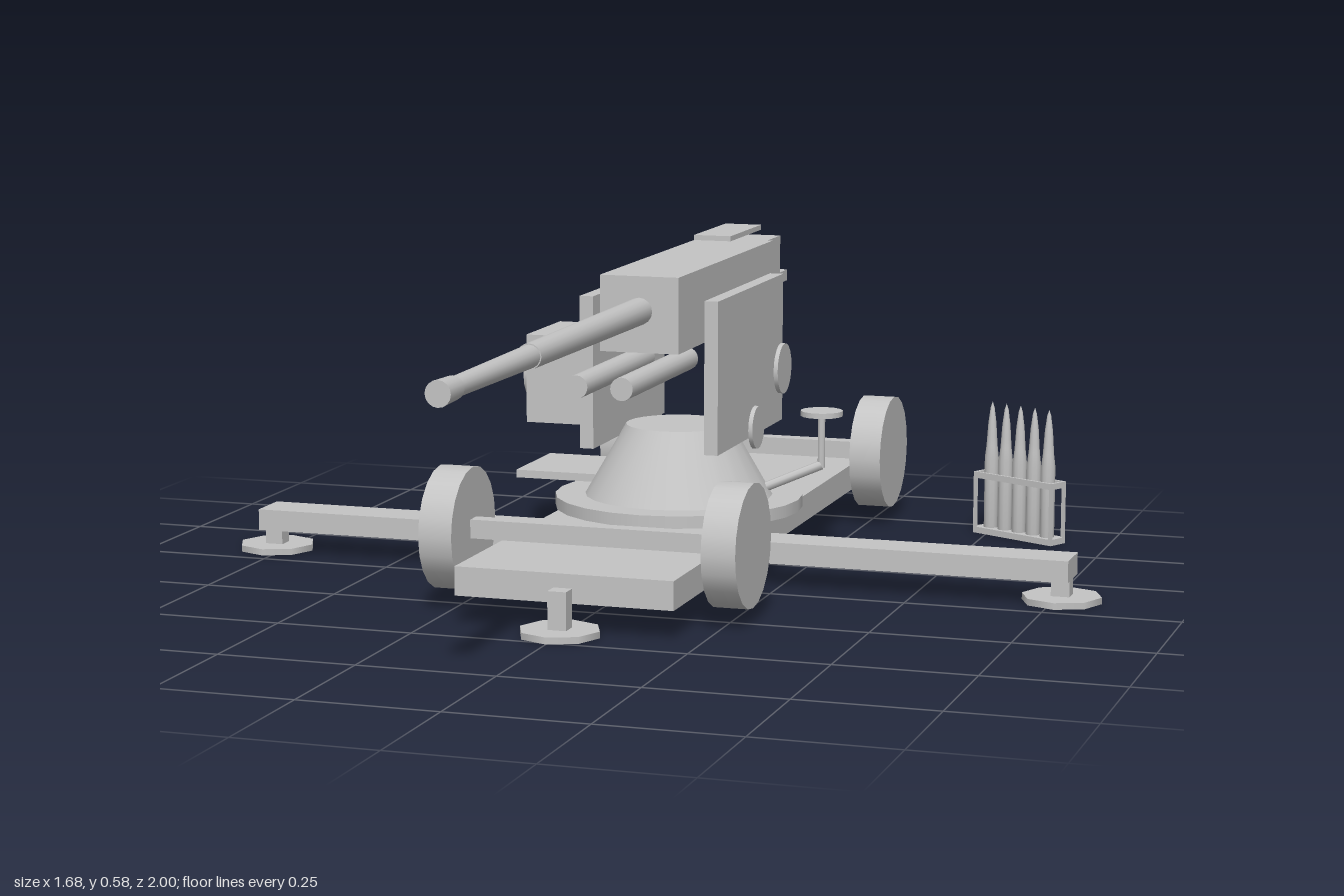
import * as THREE from 'three';

export function createModel() {
  const model = new THREE.Group();
  model.name = 'fieldGun';
  const grey = new THREE.MeshStandardMaterial({ color: 0xc4c4c4 });
  grey.name = 'plain grey';

  const add = (name, geometry, parent = model) => {
    const mesh = new THREE.Mesh(geometry, grey);
    mesh.name = name;
    parent.add(mesh);
    return mesh;
  };
  // Box given by its lower and upper limits on each axis
  const box = (name, [x0, x1], [y0, y1], [z0, z1], parent) => {
    const mesh = add(name, new THREE.BoxGeometry(x1 - x0, y1 - y0, z1 - z0), parent);
    mesh.position.set((x0 + x1) / 2, (y0 + y1) / 2, (z0 + z1) / 2);
    return mesh;
  };
  // Cylinder running between two points
  const rod = (name, a, b, r0, r1 = r0, sides = 16, parent = model) => {
    const from = new THREE.Vector3(...a), to = new THREE.Vector3(...b);
    const dir = to.clone().sub(from);
    const mesh = add(name, new THREE.CylinderGeometry(r1, r0, dir.length(), sides), parent);
    mesh.position.copy(from).add(to).multiplyScalar(0.5);
    mesh.quaternion.setFromUnitVectors(new THREE.Vector3(0, 1, 0), dir.normalize());
    return mesh;
  };
  // Octagonal pad with a square post
  const foot = (x, z, top) => {
    rod('footPad', [x, 0, z], [x, 0.012, z], 0.073, 0.073, 8);
    box('footPost', [x - 0.017, x + 0.017], [0.012, top], [z - 0.016, z + 0.016]);
  };

  // Carriage
  box('platform', [-0.2, 0.2], [0.053, 0.105], [-0.92, 0.42]);
  foot(0, 0.437, 0.08);
  foot(0, -0.925, 0.08);
  for (const s of [-1, 1]) {
    const arm = box('outrigger', [-0.3175, 0.3175], [0.043, 0.083], [-0.143, -0.057]);
    arm.position.x = s * 0.4675;
    foot(s * 0.766, -0.1, 0.045);
  }

  // Axles and wheels
  for (const z of [0.249, -0.745]) {
    box('axle', [-0.23, 0.23], [0.123, 0.157], [z - 0.016, z + 0.016]);
    for (const s of [-1, 1])
      rod('wheel', [s * 0.229, 0.139, z], [s * 0.291, 0.139, z], 0.111, 0.111, 20);
  }

  // Turntable and pedestal
  rod('turntable', [0, 0.105, -0.242], [0, 0.128, -0.242], 0.234, 0.234, 24);
  rod('pedestal', [0, 0.128, -0.242], [0, 0.262, -0.242], 0.177, 0.1, 24);

  // Cradle side plates
  for (const s of [-1, 1]) {
    const plate = box('sidePlate', [-0.013, 0.013], [0.238, 0.522], [-0.485, -0.055]);
    plate.position.x = s * 0.12;
  }

  // Gun body and breech
  box('gunBody', [-0.075, 0.075], [0.43, 0.57], [-0.613, 0]);
  box('breech', [-0.06, 0.06], [0.445, 0.568], [-0.72, -0.613]);
  box('loadingTray', [-0.045, 0.045], [0.465, 0.487], [-0.825, -0.72]);
  box('topGuide', [-0.075, 0], [0.57, 0.58], [-0.79, -0.575]);

  // Barrel in stepped sections
  rod('barrelRear', [0, 0.506, 0], [0, 0.506, 0.585], 0.025, 0.022);
  rod('barrelFront', [0, 0.506, 0.585], [0, 0.506, 0.935], 0.02, 0.017);
  rod('muzzle', [0, 0.506, 0.935], [0, 0.506, 1], 0.02, 0.022);
  for (const s of [-1, 1])
    rod('recoilCylinder', [s * 0.042, 0.399, -0.16], [s * 0.042, 0.399, 0.227], 0.021);

  // Handwheels on the left side
  rod('handwheelRear', [0.169, 0.36, -0.345], [0.177, 0.36, -0.345], 0.048, 0.048, 20);
  rod('handwheelFront', [0.169, 0.275, -0.17], [0.177, 0.275, -0.17], 0.04, 0.04, 20);

  // Gunner's seat
  rod('seat', [0.26, 0.279, -0.31], [0.26, 0.289, -0.31], 0.04, 0.04, 16);
  rod('seatPost', [0.26, 0.18, -0.31], [0.26, 0.279, -0.31], 0.007, 0.007, 8);
  rod('seatArm', [0.13, 0.13, -0.27], [0.26, 0.185, -0.31], 0.009, 0.009, 8);

  // Control box and footplate on the right side
  box('controlBox', [-0.323, -0.173], [0.24, 0.41], [-0.485, -0.29]);
  rod('controlDial', [-0.323, 0.325, -0.386], [-0.345, 0.325, -0.386], 0.053, 0.053, 16);
  box('footplate', [-0.345, -0.155], [0.13, 0.145], [-0.485, -0.29]);

  // Shell rack standing beside the carriage
  const rack = new THREE.Group();
  rack.name = 'shellRack';
  rack.position.set(0.569, 0, -0.647);
  rack.rotation.y = -0.48;
  model.add(rack);
  box('rackBase', [-0.098, 0.098], [0, 0.012], [-0.022, 0.022], rack);
  for (const s of [-1, 1]) {
    const z = s * 0.019;
    box('rackRail', [-0.098, 0.098], [0.11, 0.122], [z - 0.003, z + 0.003], rack);
    box('rackEnd', [s * 0.095 - 0.003, s * 0.095 + 0.003], [0.11, 0.122], [-0.022, 0.022], rack);
    for (const x of [-0.095, 0.095])
      box('rackPost', [x - 0.003, x + 0.003], [0.012, 0.122], [z - 0.003, z + 0.003], rack);
  }
  const profile = [[0, 0.012], [0.014, 0.012], [0.014, 0.15], [0.011, 0.175], [0.01, 0.19],
    [0.008, 0.22], [0.004, 0.25], [0, 0.262]].map(p => new THREE.Vector2(...p));
  const shellGeometry = new THREE.LatheGeometry(profile, 12);
  for (let i = -2; i <= 2; i++) add('shell', shellGeometry, rack).position.x = i * 0.0355;

  return model;
}
